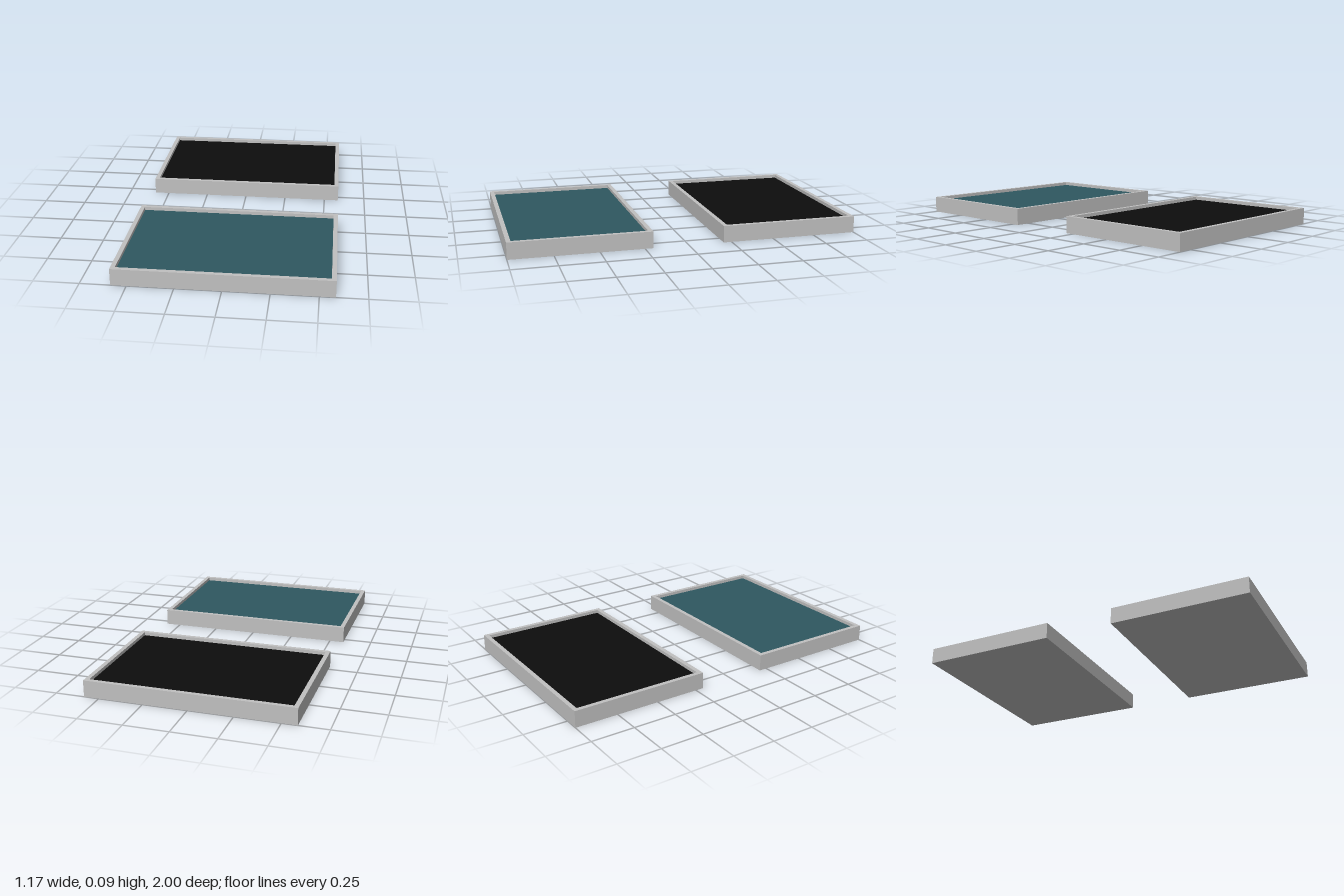
import * as THREE from 'three';

const WIDTH = 1.17, DEPTH = 0.797, HEIGHT = 0.095;
const RIM = 0.025, PANEL_TOP = 0.076, PANEL_THICKNESS = 0.006;

// Rectangle outline centred on the origin
function rectangle(PathType, w, d) {
  return new PathType([
    new THREE.Vector2(-w / 2, -d / 2), new THREE.Vector2(w / 2, -d / 2),
    new THREE.Vector2(w / 2, d / 2), new THREE.Vector2(-w / 2, d / 2),
  ]);
}

function createTray(name, frameMaterial, panelMaterial) {
  const tray = new THREE.Group();
  tray.name = name;
  const innerW = WIDTH - 2 * RIM, innerD = DEPTH - 2 * RIM;

  // Upright rim around the recess
  const outline = rectangle(THREE.Shape, WIDTH, DEPTH);
  outline.holes.push(rectangle(THREE.Path, innerW, innerD));
  const rimGeometry = new THREE.ExtrudeGeometry(outline, { depth: HEIGHT, bevelEnabled: false });
  rimGeometry.rotateX(-Math.PI / 2);
  const rim = new THREE.Mesh(rimGeometry, frameMaterial);
  rim.name = 'rim';

  // Solid base filling the rim up to the panel
  const baseHeight = PANEL_TOP - PANEL_THICKNESS;
  const base = new THREE.Mesh(new THREE.BoxGeometry(innerW, baseHeight, innerD), frameMaterial);
  base.name = 'base';
  base.position.y = baseHeight / 2;

  // Coloured panel set just below the rim
  const panel = new THREE.Mesh(new THREE.BoxGeometry(innerW, PANEL_THICKNESS, innerD), panelMaterial);
  panel.name = 'panel';
  panel.position.y = PANEL_TOP - PANEL_THICKNESS / 2;

  tray.add(rim, base, panel);
  return tray;
}

export function createModel() {
  const material = (name, color) => {
    const m = new THREE.MeshStandardMaterial({ color });
    m.name = name;
    return m;
  };
  const grey = material('light grey', 0xc0c0c0);
  const teal = material('dark teal', 0x2e5760);
  const black = material('black', 0x0d0d0d);

  const model = new THREE.Group();
  model.name = 'framedPanels';
  const frontTray = createTray('frontTray', grey, teal);
  const backTray = createTray('backTray', grey, black);
  frontTray.position.z = 1 - DEPTH / 2;
  backTray.position.z = -frontTray.position.z;
  model.add(frontTray, backTray);
  return model;
}
